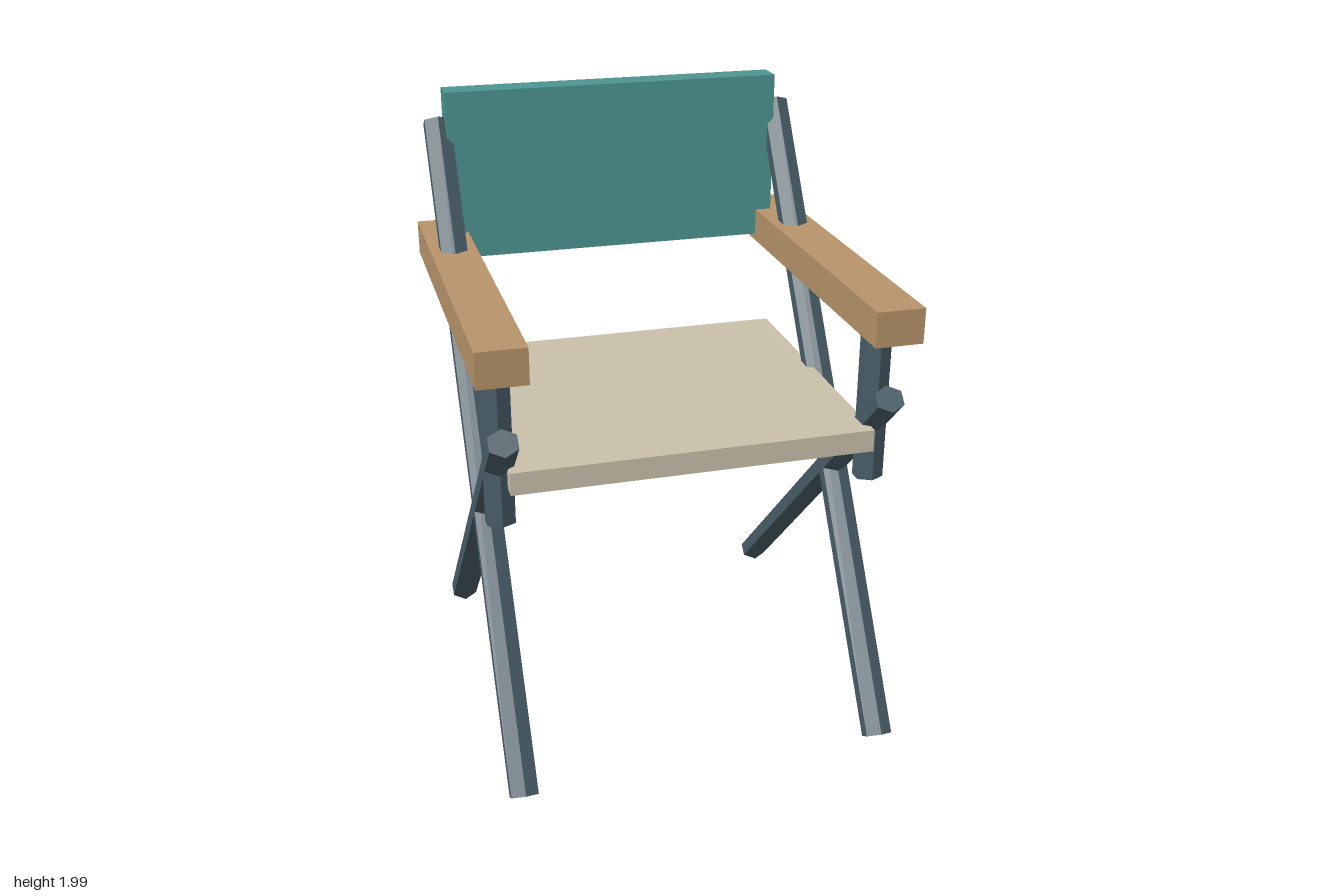
import * as THREE from 'three';

const material = (name, color) => {
  const m = new THREE.MeshStandardMaterial({ color, flatShading: true });
  m.name = name;
  return m;
};

export function createModel() {
  const chair = new THREE.Group();
  chair.name = 'foldingChair';

  const wood = material('wood', 0xb8946a);
  const canvas = material('canvas', 0xcbc1ac);
  const teal = material('tealFabric', 0x4e9691);
  const slate = material('slateFrame', 0x4a5e68);

  // Box given by its low and high corners
  const slab = (name, mat, [x0, y0, z0], [x1, y1, z1]) => {
    const mesh = new THREE.Mesh(new THREE.BoxGeometry(x1 - x0, y1 - y0, z1 - z0), mat);
    mesh.position.set((x0 + x1) / 2, (y0 + y1) / 2, (z0 + z1) / 2);
    mesh.name = name;
    chair.add(mesh);
  };

  // Six-sided rod in the side plane, flats facing sideways; ends are [y, z]
  const rod = (name, x, [y0, z0], [y1, z1], depth) => {
    const dy = y1 - y0, dz = z1 - z0;
    const geo = new THREE.CylinderGeometry(1, 1, Math.hypot(dy, dz), 6);
    geo.scale(0.087 / Math.sqrt(3), 1, depth / 2);
    const mesh = new THREE.Mesh(geo, slate);
    mesh.position.set(x, (y0 + y1) / 2, (z0 + z1) / 2);
    mesh.rotation.x = Math.atan2(dz, dy);
    mesh.name = name;
    chair.add(mesh);
  };

  // Seat and backrest
  slab('seat', canvas, [-0.575, 1.022, -0.51], [0.575, 1.095, 0.512]);
  slab('backrest', teal, [-0.575, 1.43, -0.603], [0.575, 2, -0.508]);

  // Crossed legs, arm post and armrest on each side
  for (const [side, s] of [['left', 1], ['right', -1]]) {
    const x = s * 0.597;
    rod(side + 'LongLeg', x, [0.031, 0.645], [1.892, -0.577], 0.09);
    rod(side + 'ShortLeg', x, [0.038, -0.635], [1.217, 0.556], 0.09);
    rod(side + 'ArmPost', x, [0.897, 0.429], [1.41, 0.429], 0.086);
    slab(side + 'Armrest', wood, [x - 0.077, 1.407, -0.68], [x + 0.077, 1.52, 0.597]);
  }
  return chair;
}
